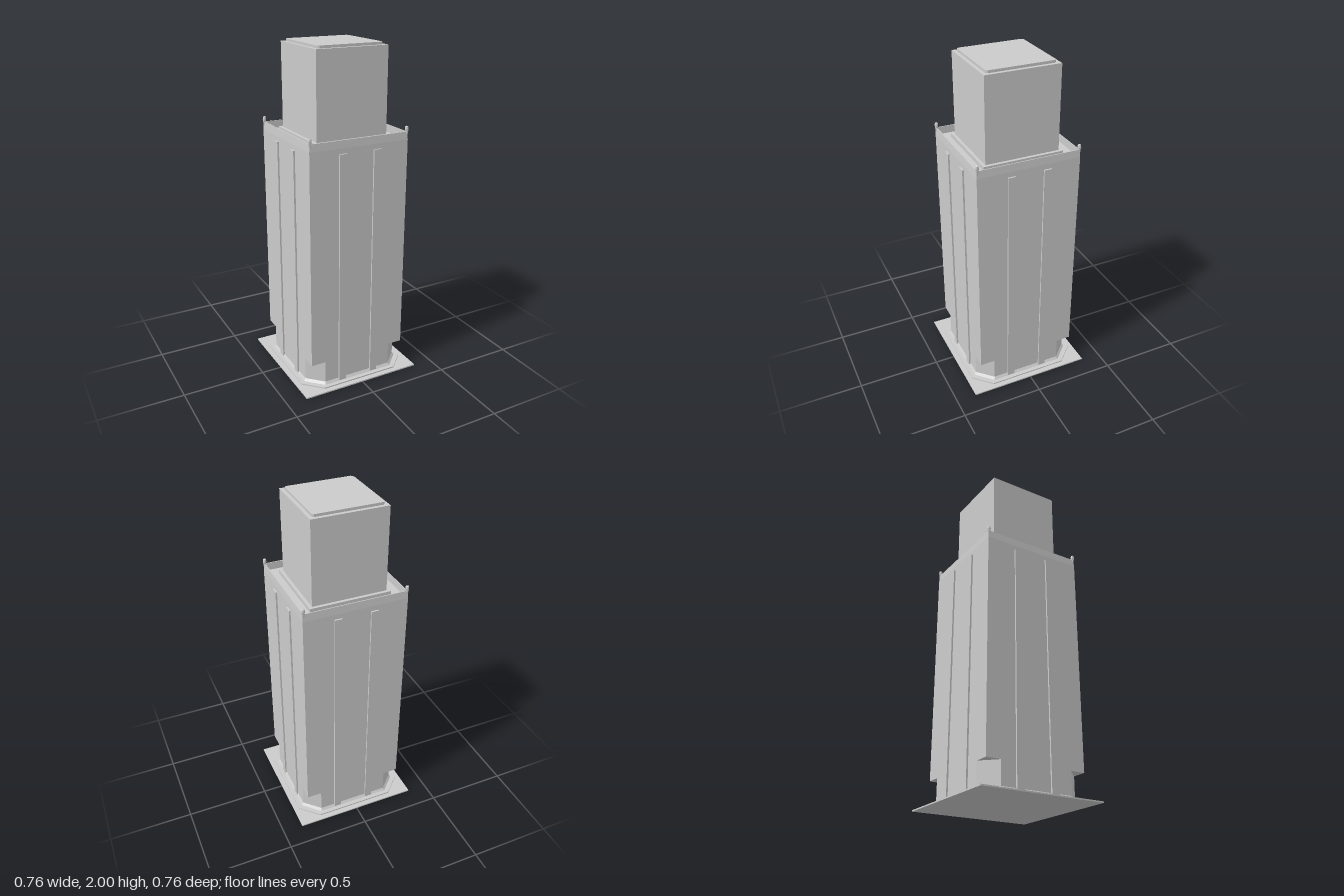
import * as THREE from 'three';

const material = new THREE.MeshStandardMaterial({ color: 0xcccccc, flatShading: true });

// Square solid swept from a [halfWidth, y] profile, listed bottom to top
function squareSolid(profile) {
  const pts = profile.map(([w, y]) => new THREE.Vector2(w * Math.SQRT2, y));
  return new THREE.LatheGeometry(pts, 4).rotateY(Math.PI / 4);
}

// Square slab with cut corners; c is where each cut starts, topScale tapers it
function cutSlab(h, c, y0, y1, topScale = 1) {
  const shape = new THREE.Shape([
    [h, -c], [h, c], [c, h], [-c, h], [-h, c], [-h, -c], [-c, -h], [c, -h],
  ].map(([x, y]) => new THREE.Vector2(x, y)));
  const geo = new THREE.ExtrudeGeometry(shape, { depth: y1 - y0, bevelEnabled: false });
  geo.rotateX(-Math.PI / 2);
  const p = geo.attributes.position;
  for (let i = 0; i < p.count; i++) {
    const s = p.getY(i) > (y1 - y0) / 2 ? topScale : 1;
    p.setXYZ(i, p.getX(i) * s, p.getY(i) + y0, p.getZ(i) * s);
  }
  geo.computeVertexNormals();
  return geo;
}

function box(w, h, d, x, y, z) {
  return new THREE.BoxGeometry(w, h, d).translate(x, y, z);
}

export function createModel() {
  const model = new THREE.Group();
  model.name = 'tower';
  const add = (name, geo, parent = model) => {
    const mesh = new THREE.Mesh(geo, material);
    mesh.name = name;
    parent.add(mesh);
    return mesh;
  };

  // Ground plate, step and flared foot
  add('groundPlate', box(0.756, 0.008, 0.756, 0, 0.004, 0));
  add('step', cutSlab(0.346, 0.242, 0.008, 0.015));
  add('flaredFoot', cutSlab(0.321, 0.226, 0.015, 0.03, 0.968));

  // Lower storey with cut corners
  add('lowerStorey', cutSlab(0.31, 0.22, 0.03, 0.166));

  // Main shaft, with a tapered parapet around a sunken roof
  add('shaft', squareSolid([
    [0, 0.165], [0.31, 0.165], [0.31, 1.465], [0.307, 1.51],
    [0.302, 1.51], [0.302, 1.465], [0, 1.465],
  ]));

  // Two raised vertical strips on each face
  for (let side = 0; side < 4; side++) {
    const face = new THREE.Group();
    face.name = 'faceStrips';
    face.rotation.y = side * Math.PI / 2;
    model.add(face);
    for (const x of [-0.108, 0.108]) {
      add('strip', box(0.045, 1.42, 0.02, x, 0.725, 0.31), face);
    }
  }

  // Corner finials on the parapet
  const finial = new THREE.LatheGeometry([
    [0, 1.47], [0.004, 1.475], [0.011, 1.525], [0.009, 1.538], [0, 1.543],
  ].map(([r, y]) => new THREE.Vector2(r, y)), 8);
  for (const x of [-0.304, 0.304]) {
    for (const z of [-0.304, 0.304]) {
      add('finial', finial).position.set(x, 0, z);
    }
  }

  // Upper block on its plinth, with a thin cap
  add('upperPlinth', box(0.48, 0.023, 0.48, 0, 1.4765, 0));
  add('upperBlock', box(0.443, 0.5, 0.443, 0, 1.735, 0));
  add('roofCap', cutSlab(0.201, 0.191, 1.985, 2));

  return model;
}
